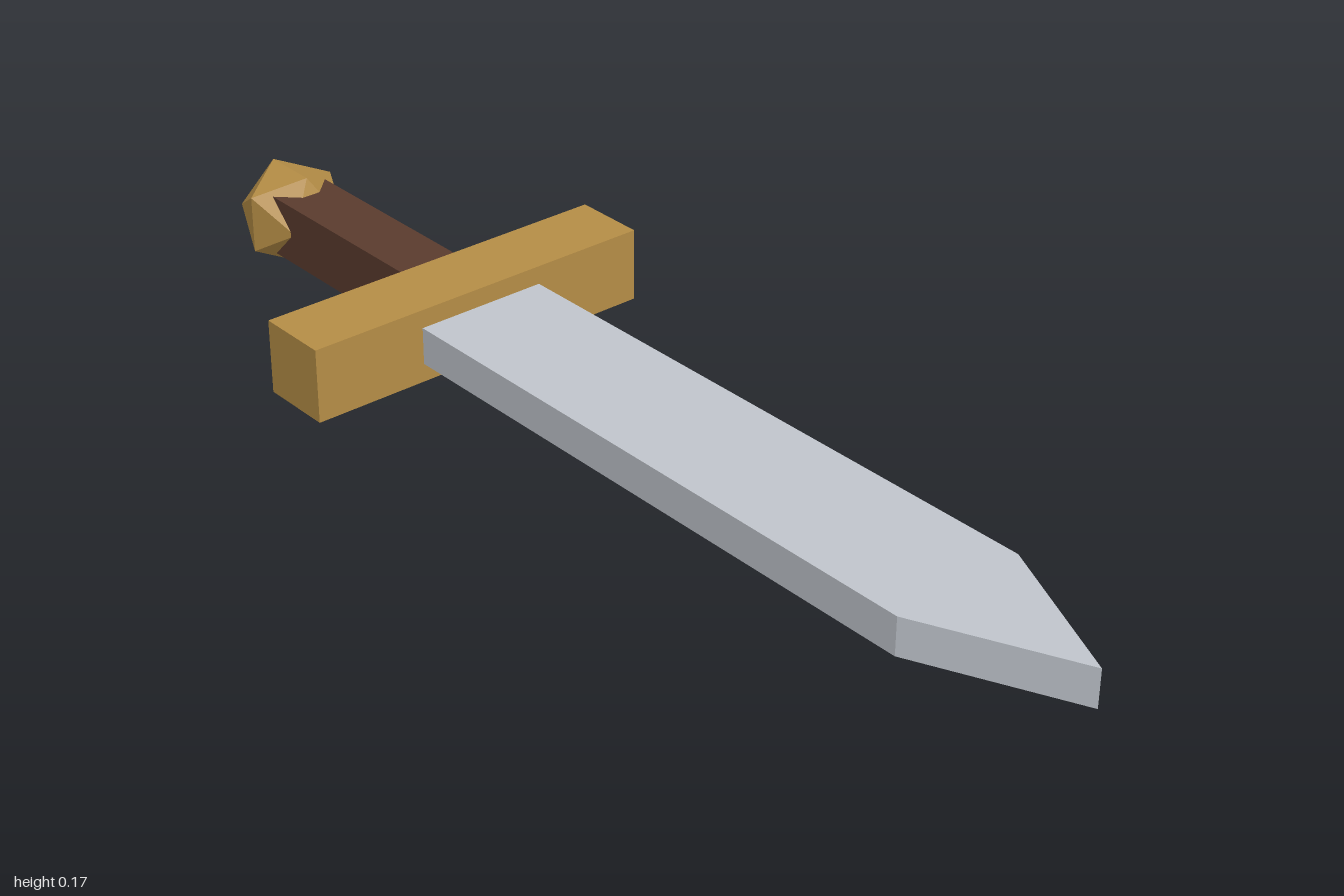
import * as THREE from 'three';

const flat = (name, color) => {
  const m = new THREE.MeshStandardMaterial({ color, flatShading: true });
  m.name = name;
  return m;
};

export function createModel() {
  const steel = flat('steel', 0xc0c5cc);
  const gold = flat('gold', 0xb58d46);
  const leather = flat('leather', 0x5a3b2e);

  const sword = new THREE.Group();
  sword.name = 'sword';
  const midY = 0.087;
  const add = (name, geometry, material, y, z) => {
    const mesh = new THREE.Mesh(geometry, material);
    mesh.name = name;
    mesh.position.set(0, y, z);
    sword.add(mesh);
  };

  // Blade: flat pointed outline lying on its side, tip towards +z
  const outline = new THREE.Shape([
    [-0.122, -0.4], [0.122, -0.4], [0.122, 0.735], [0, 1], [-0.122, 0.735],
  ].map(([x, z]) => new THREE.Vector2(x, z)));
  const thickness = 0.067;
  const blade = new THREE.ExtrudeGeometry(outline, { depth: thickness, bevelEnabled: false });
  blade.rotateX(Math.PI / 2);
  add('blade', blade, steel, midY + thickness / 2, 0);

  // Crossguard and square grip
  add('crossguard', new THREE.BoxGeometry(0.666, 0.133, 0.133), gold, midY, -0.425);
  add('grip', new THREE.BoxGeometry(0.112, 0.112, 0.45), leather, midY, -0.675);

  // Faceted pommel, turned so an edge lies along z at the top
  const pommel = new THREE.IcosahedronGeometry(0.1, 0);
  pommel.rotateY(Math.PI / 2);
  add('pommel', pommel, gold, midY, -0.915);

  return sword;
}
